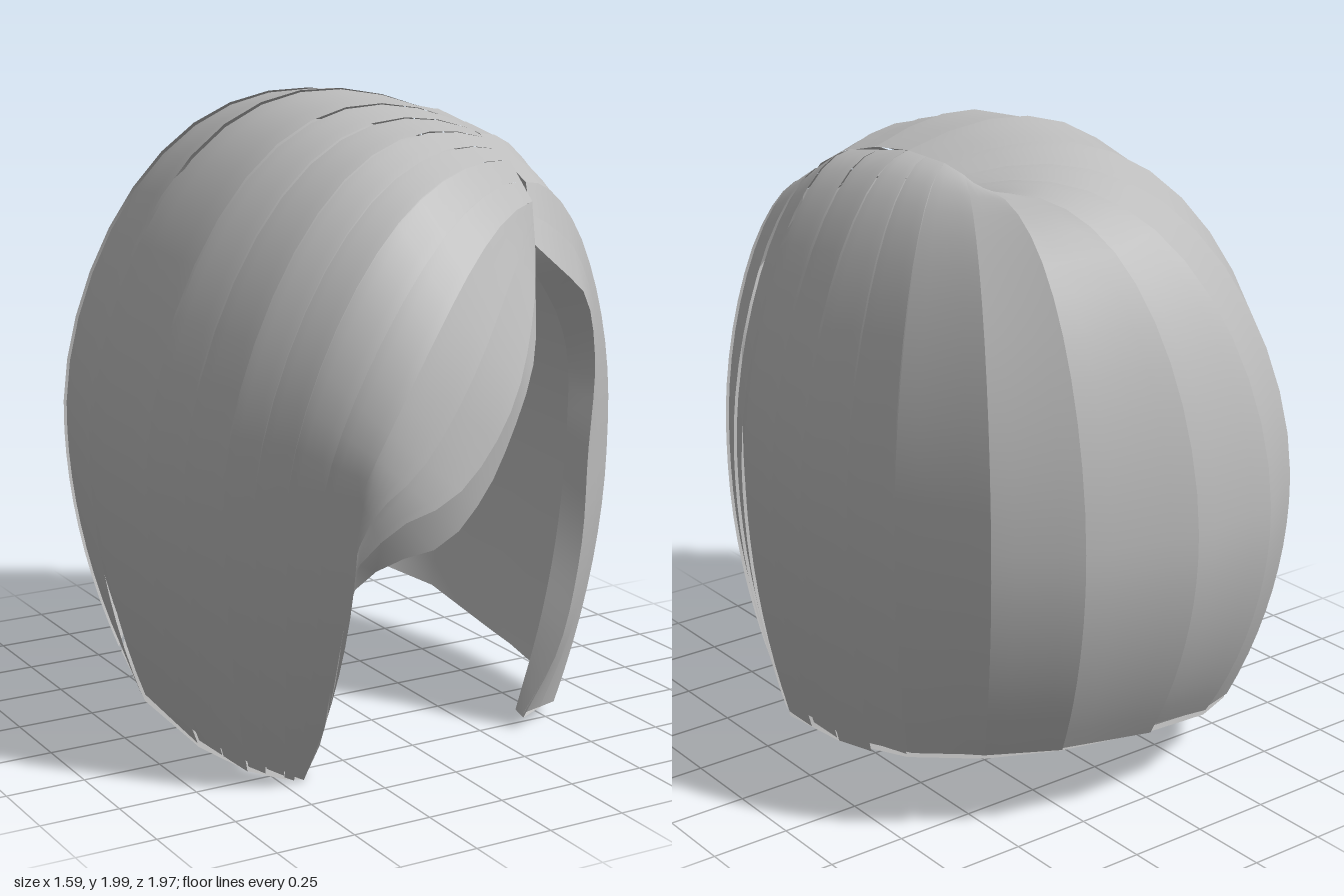
import * as THREE from 'three';

const V = (x, y, z) => new THREE.Vector3(x, y, z);
const curve = (pts) => new THREE.CatmullRomCurve3(pts.map((p) => V(...p)));
const LEVELS = 22;

// parting line, front to back
const parting = curve([[0.3, 1.58, 0.68], [0.32, 1.74, 0.61], [0.29, 1.87, 0.42],
  [0.27, 1.93, 0.1], [0.27, 1.92, -0.14], [0.29, 1.88, -0.32]]);

// free edges beside the face: swept fringe and short side, each with its inner lip
const fringeEdge = curve([[0.3, 1.58, 0.68], [0.21, 1.42, 0.81], [0.07, 1.19, 0.93], [-0.07, 1.02, 0.97],
  [-0.19, 0.93, 0.98], [-0.31, 0.88, 0.95], [-0.42, 0.72, 0.85], [-0.44, 0.45, 0.775], [-0.43, 0.2, 0.7], [-0.4, 0.005, 0.54]]);
const fringeLip = curve([[0.29, 1.55, 0.67], [0.27, 1.49, 0.72], [0.18, 1.28, 0.86], [0.06, 1.07, 0.92],
  [-0.05, 0.92, 0.95], [-0.18, 0.8, 0.95], [-0.31, 0.76, 0.91], [-0.39, 0.67, 0.82], [-0.42, 0.42, 0.75], [-0.41, 0.2, 0.67], [-0.39, 0.02, 0.52]]);
const sideEdge = curve([[0.3, 1.58, 0.68], [0.38, 1.5, 0.71], [0.47, 1.42, 0.7], [0.55, 1.2, 0.65],
  [0.54, 0.9, 0.64], [0.53, 0.6, 0.63], [0.47, 0.28, 0.61], [0.38, 0.04, 0.55]]);
const sideLip = curve([[0.29, 1.53, 0.66], [0.42, 1.35, 0.63], [0.49, 1.2, 0.59], [0.5, 0.97, 0.58],
  [0.48, 0.65, 0.57], [0.43, 0.36, 0.56], [0.37, 0.06, 0.52]]);

// guide strands: parting position, widest x z, hem x z, extra rise, extra forward swell
const guides = [
  [0.15, -0.42, 0.88, -0.43, 0.58, -0.12, 0.1],
  [0.3, -0.56, 0.72, -0.48, 0.55, 0.05, 0.1],
  [0.4, -0.68, 0.56, -0.55, 0.45, 0.11, 0.07],
  [0.5, -0.78, 0.26, -0.61, 0.24, 0.15, 0.03],
  [0.6, -0.785, -0.12, -0.63, -0.1, 0.16, 0],
  [0.75, -0.69, -0.53, -0.56, -0.43, 0.13, 0],
  [0.85, -0.51, -0.79, -0.42, -0.64, 0.1, 0],
  [0.92, -0.28, -0.95, -0.22, -0.76, 0.08, 0],
  [1, 0.03, -0.98, 0.03, -0.79, 0.07, 0],
  [0.95, 0.38, -0.9, 0.33, -0.74, 0.05, 0],
  [0.85, 0.6, -0.75, 0.52, -0.61, 0.01, 0],
  [0.75, 0.73, -0.46, 0.64, -0.38, -0.04, 0],
  [0.6, 0.785, -0.05, 0.67, -0.05, -0.08, 0],
  [0.42, 0.76, 0.31, 0.65, 0.27, -0.08, 0],
  [0.22, 0.68, 0.53, 0.53, 0.49, -0.05, 0.02],
];
const SPANS = guides.length + 1;

// quarter ellipse from parting to widest point, then tucked in to the hem
function guidePoint([t, wx, wz, hx, hz, rise, swell], v) {
  const p = parting.getPoint(t), wy = 0.93, split = 0.56;
  if (v < split) {
    const a = (v / split) * Math.PI / 2, s = Math.sin(a), c = Math.cos(a), b = Math.sin(2 * a);
    const lift = 1.3 * rise * b * (rise > 0 ? c : s);
    return V(p.x + (wx - p.x) * s, wy + (p.y - wy) * c + lift, p.z + (wz - p.z) * s + swell * b);
  }
  const k = (v - split) / (1 - split);
  const hy = 0.085 - 0.15 * hz + 0.08 * hz * hz + hx * (0.04 + 0.06 * Math.max(0, -hz));
  return new THREE.QuadraticBezierCurve3(V(wx, wy, wz), V(wx, hy + 0.53 * (wy - hy), wz), V(hx, hy, hz)).getPoint(k);
}

// guide points around the head for every level, joined by flat panels
const rings = Array.from({ length: LEVELS + 1 }, (_, j) => {
  const v = j / LEVELS;
  return [fringeEdge.getPointAt(v), ...guides.map((g) => guidePoint(g, v)), sideEdge.getPointAt(v)];
});
function outer(u, j) {
  const i = Math.min(SPANS - 1, Math.floor(u));
  return rings[j][i].clone().lerp(rings[j][i + 1], Math.min(1, u - i));
}

// inside surface, drawn to the lips at both free edges
function inner(u, j) {
  const p = outer(u, j), v = j / LEVELS;
  p.set(p.x * 0.95, p.y > 0.1 ? 0.1 + (p.y - 0.1) * 0.95 : p.y + 0.01, p.z * 0.95);
  p.lerp(fringeLip.getPointAt(v), Math.max(0, 1 - u));
  return p.lerp(sideLip.getPointAt(v), Math.max(0, 1 - (SPANS - u)));
}

// smooth grid from a point rule
function sheet(cols, rows, point) {
  const pos = [], idx = [];
  for (let j = 0; j <= rows; j++) {
    for (let i = 0; i <= cols; i++) pos.push(...point(i, j).toArray());
  }
  for (let j = 0; j < rows; j++) {
    for (let i = 0; i < cols; i++) {
      const a = j * (cols + 1) + i, b = a + cols + 1;
      idx.push(a, a + 1, b, a + 1, b + 1, b);
    }
  }
  const g = new THREE.BufferGeometry();
  g.setAttribute('position', new THREE.Float32BufferAttribute(pos, 3));
  g.setIndex(idx);
  g.computeVertexNormals();
  return g;
}

export function createModel() {
  const group = new THREE.Group();
  group.name = 'bobHair';
  const hair = new THREE.MeshStandardMaterial({ color: 0xbcbcbc, side: THREE.DoubleSide });
  hair.name = 'hairGrey';
  const add = (name, geometry) => {
    const m = new THREE.Mesh(geometry, hair);
    m.name = name;
    group.add(m);
  };
  let seed = 7;
  const rand = () => (seed = (seed * 16807) % 2147483647) / 2147483647;
  const centre = V(0, 0.8, 0);

  // overlapping locks, wide at the back and narrow beside the face
  for (let u = 0, n = 1; u < SPANS; n++) {
    const start = u, width = u >= 4 && u < 12 ? 1 : 0.5, trim = rand() * 0.03;
    add('lock' + n, sheet(4, LEVELS, (i, j) => {
      const k = i / 4, p = outer(start + k * width, j);
      const lift = (start === 0 ? 0 : 0.01 * (1 - k)) * Math.min(1, j / 5);
      p.addScaledVector(p.clone().sub(centre).normalize(), lift);
      p.y = Math.max(0, p.y + trim * Math.pow(j / LEVELS, 10));
      return p;
    }));
    u += width;
  }

  // smooth lining
  add('lining', sheet(SPANS * 2, LEVELS, (i, j) => inner(SPANS - i / 2, j)));

  // rims closing the thickness at the face edges and hem
  const mix = (u, j, k) => outer(u, j).lerp(inner(u, j), k);
  add('fringeRim', sheet(1, LEVELS, (i, j) => mix(0, j, 1 - i)));
  add('sideRim', sheet(1, LEVELS, (i, j) => mix(SPANS, j, i)));
  add('hemRim', sheet(SPANS * 2, 1, (i, j) => mix(i / 2, LEVELS, j)));
  return group;
}
